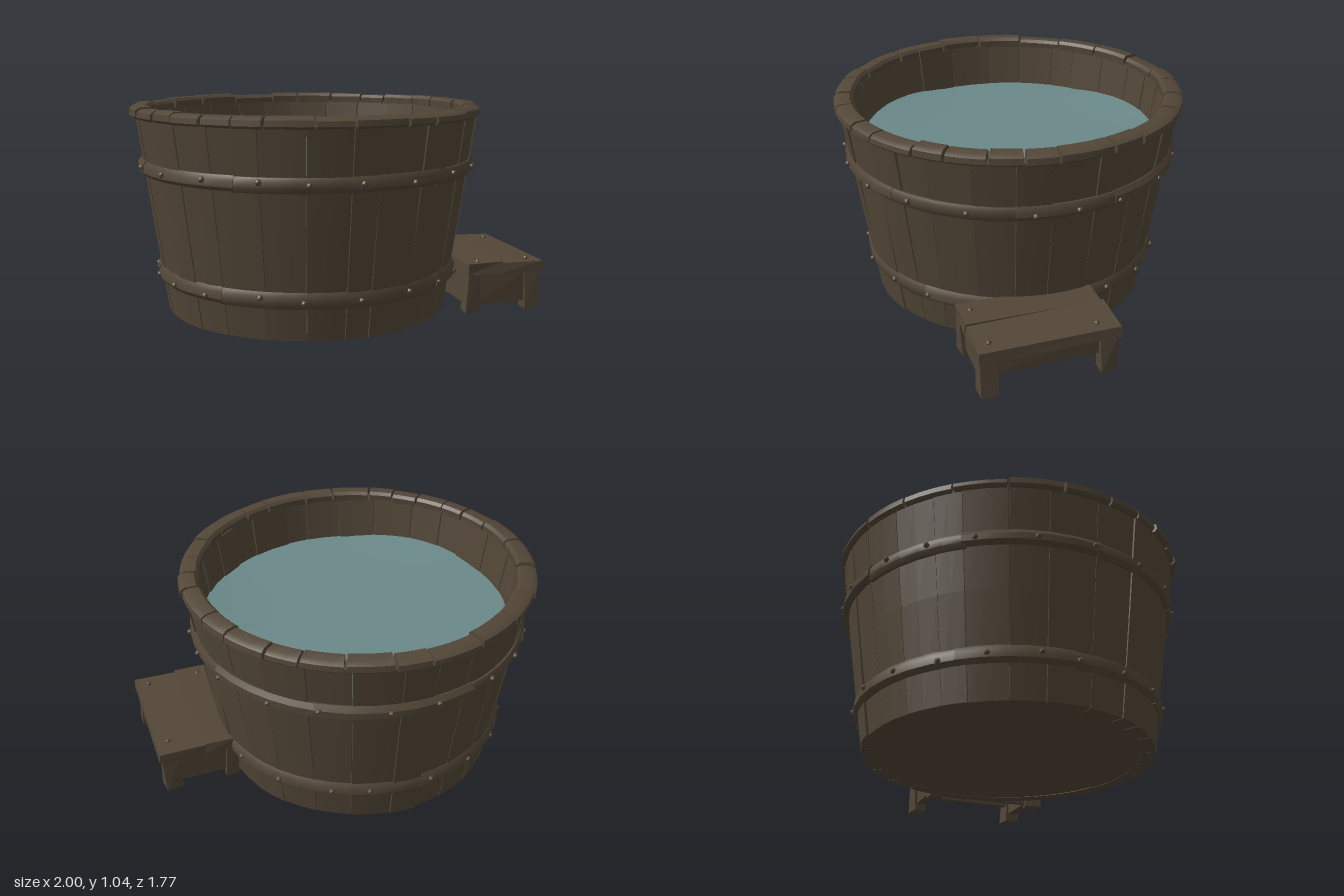
import * as THREE from 'three';
import { toCreasedNormals } from 'three/addons/utils/BufferGeometryUtils.js';

const wood = new THREE.MeshStandardMaterial({ color: 0x52463a });
wood.name = 'weathered wood';
const waterMat = new THREE.MeshStandardMaterial({ color: 0x6a8889 });
waterMat.name = 'water';
wood.color.set(0x524637);

// Small seeded generator for hand-cut irregularity
let seed = 7;
const rand = () => (seed = (seed * 16807) % 2147483647) / 2147483647;
const jitter = (s) => (rand() - 0.5) * 2 * s;

// Closed block swept about the y axis; profile is counter-clockwise [radius, y]
function arcBlock(a0, a1, profile, steps) {
  const v = [];
  const n = profile.length;
  const pt = (i, j) => {
    const a = a0 + ((a1 - a0) * i) / steps;
    const [r, y] = profile[j % n];
    return [r * Math.sin(a), y, r * Math.cos(a)];
  };
  const tri = (a, b, c) => v.push(...a, ...b, ...c);
  for (let i = 0; i < steps; i++) {
    for (let j = 0; j < n; j++) {
      tri(pt(i, j), pt(i + 1, j), pt(i + 1, j + 1));
      tri(pt(i, j), pt(i + 1, j + 1), pt(i, j + 1));
    }
  }
  for (let j = 1; j < n - 1; j++) {
    tri(pt(0, 0), pt(0, j), pt(0, j + 1));
    tri(pt(steps, 0), pt(steps, j + 1), pt(steps, j));
  }
  const g = new THREE.BufferGeometry();
  g.setAttribute('position', new THREE.Float32BufferAttribute(v, 3));
  return toCreasedNormals(g, 0.6);
}

// Irregular angles that split a full turn into pieces
function splitTurn(count) {
  const w = Array.from({ length: count }, () => 0.7 + 0.6 * rand());
  const total = w.reduce((a, b) => a + b, 0);
  let a = 0;
  return w.map((x) => {
    const start = a;
    a += (x / total) * Math.PI * 2;
    return [start, a];
  });
}

function add(parent, name, geometry, material = wood) {
  const m = new THREE.Mesh(geometry, material);
  m.name = name;
  parent.add(m);
  return m;
}

// Box with slightly shifted corners, given by its limits
function roughBox(x0, x1, y0, y1, z0, z1, amount = 0.008) {
  const corner = {};
  let g = new THREE.BoxGeometry(x1 - x0, y1 - y0, z1 - z0);
  const p = g.attributes.position;
  for (let i = 0; i < p.count; i++) {
    const key = [p.getX(i) > 0, p.getY(i) > 0, p.getZ(i) > 0].join();
    corner[key] ??= [jitter(amount), y0 === 0 && p.getY(i) < 0 ? 0 : jitter(amount), jitter(amount)];
    const d = corner[key];
    p.setXYZ(i, p.getX(i) + d[0], p.getY(i) + d[1], p.getZ(i) + d[2]);
  }
  g = g.toNonIndexed();
  g.translate((x0 + x1) / 2, (y0 + y1) / 2, (z0 + z1) / 2);
  g.computeVertexNormals();
  return g;
}

function buildTub() {
  const tub = new THREE.Group();
  tub.name = 'tub';

  // Flared wall of staves
  const staves = new THREE.Group();
  staves.name = 'staves';
  tub.add(staves);
  for (const [a, b] of splitTurn(27)) {
    const lo = jitter(0.007);
    const hi = jitter(0.008);
    add(staves, 'stave', arcBlock(a + 0.002, b - 0.002, [
      [0.65 + lo, 0], [0.717 + lo, 0], [0.79 + (lo + hi) / 2, 0.5], [0.858 + hi, 0.99], [0.79 + hi, 0.99],
    ], 2));
  }

  // Capping blocks around the rim
  const rim = new THREE.Group();
  rim.name = 'rim';
  tub.add(rim);
  for (const [a, b] of splitTurn(27)) {
    const o = jitter(0.006);
    const t = jitter(0.006);
    add(rim, 'rimBlock', arcBlock(a + 0.007, b - 0.007, [
      [0.787 + o, 0.982], [0.868 + o, 0.978], [0.881 + o, 0.99], [0.878 + o, 1.016 + t],
      [0.855 + o, 1.03 + t], [0.8 + o, 1.03 + t], [0.785 + o, 1.015 + t],
    ], 3));
  }

  // Two rounded hoops with pegs
  for (const [name, r, y, h] of [['lowerHoop', 0.766, 0.2, 0.04], ['upperHoop', 0.848, 0.735, 0.036]]) {
    const hoop = new THREE.Group();
    hoop.name = name;
    tub.add(hoop);
    for (const [a, b] of splitTurn(9)) {
      const d = jitter(0.005);
      add(hoop, 'hoopSection', arcBlock(a - 0.01, b + 0.01, [
        [r - 0.06, y - h + d], [r - 0.018, y - h + d], [r + d, y - h * 0.5],
        [r + d, y + h * 0.4], [r - 0.014, y + h + d], [r - 0.06, y + h + d],
      ], 5));
    }
    for (let i = 0; i < 20; i++) {
      const a = ((i + 0.3 + jitter(0.2)) / 20) * Math.PI * 2;
      const g = new THREE.IcosahedronGeometry(0.016, 0);
      g.translate(r * Math.sin(a), y + jitter(0.012), r * Math.cos(a));
      add(hoop, 'peg', g);
    }
  }

  // Floor
  const floor = add(tub, 'floor', new THREE.CylinderGeometry(0.705, 0.7, 0.03, 40));
  floor.position.y = 0.017;

  // Water with a few raised edges
  const g = new THREE.RingGeometry(0, 0.778, 30, 4);
  g.rotateX(-Math.PI / 2);
  const p = g.attributes.position;
  for (let i = 0; i < p.count; i++) {
    const x = p.getX(i);
    const z = p.getZ(i);
    const edge = Math.max(0, Math.hypot(x, z) - 0.58) / 0.2;
    p.setY(i, 0.77 + edge * 0.025 * Math.max(0, Math.sin(3 * Math.atan2(z, x) + 0.6)));
  }
  g.computeVertexNormals();
  add(tub, 'water', g, waterMat);

  tub.position.x = -0.115;
  return tub;
}

function buildStep() {
  const step = new THREE.Group();
  step.name = 'step';
  // Tread of two boards
  add(step, 'treadInner', roughBox(0.59, 0.77, 0.194, 0.25, -0.185, 0.485, 0.006));
  add(step, 'treadOuter', roughBox(0.765, 0.994, 0.19, 0.247, -0.185, 0.485, 0.006));
  // Legs and end boards
  for (const [z0, z1] of [[0.4, 0.48], [-0.175, -0.095]]) {
    for (const [x0, x1] of [[0.59, 0.66], [0.9, 0.985]]) {
      add(step, 'leg', roughBox(x0, x1, 0, 0.2, z0, z1, 0.01));
    }
    add(step, 'endBoard', roughBox(0.63, 0.93, 0.04, 0.2, z0 + 0.02, z1 - 0.02, 0.005));
  }
  // Long rails
  add(step, 'outerRail', roughBox(0.92, 0.95, 0.09, 0.2, -0.12, 0.43, 0.005));
  add(step, 'innerRail', roughBox(0.62, 0.65, 0.02, 0.2, -0.12, 0.43, 0.005));
  // Pegs on the tread
  for (const [x, z] of [[0.93, -0.09], [0.93, 0.42], [0.66, 0.43]]) {
    const g = new THREE.IcosahedronGeometry(0.014, 0);
    g.translate(x, 0.25, z);
    add(step, 'peg', g);
  }
  return step;
}

export function createModel() {
  seed = 7;
  const model = new THREE.Group();
  model.name = 'hotTub';
  model.add(buildTub(), buildStep());
  return model;
}
